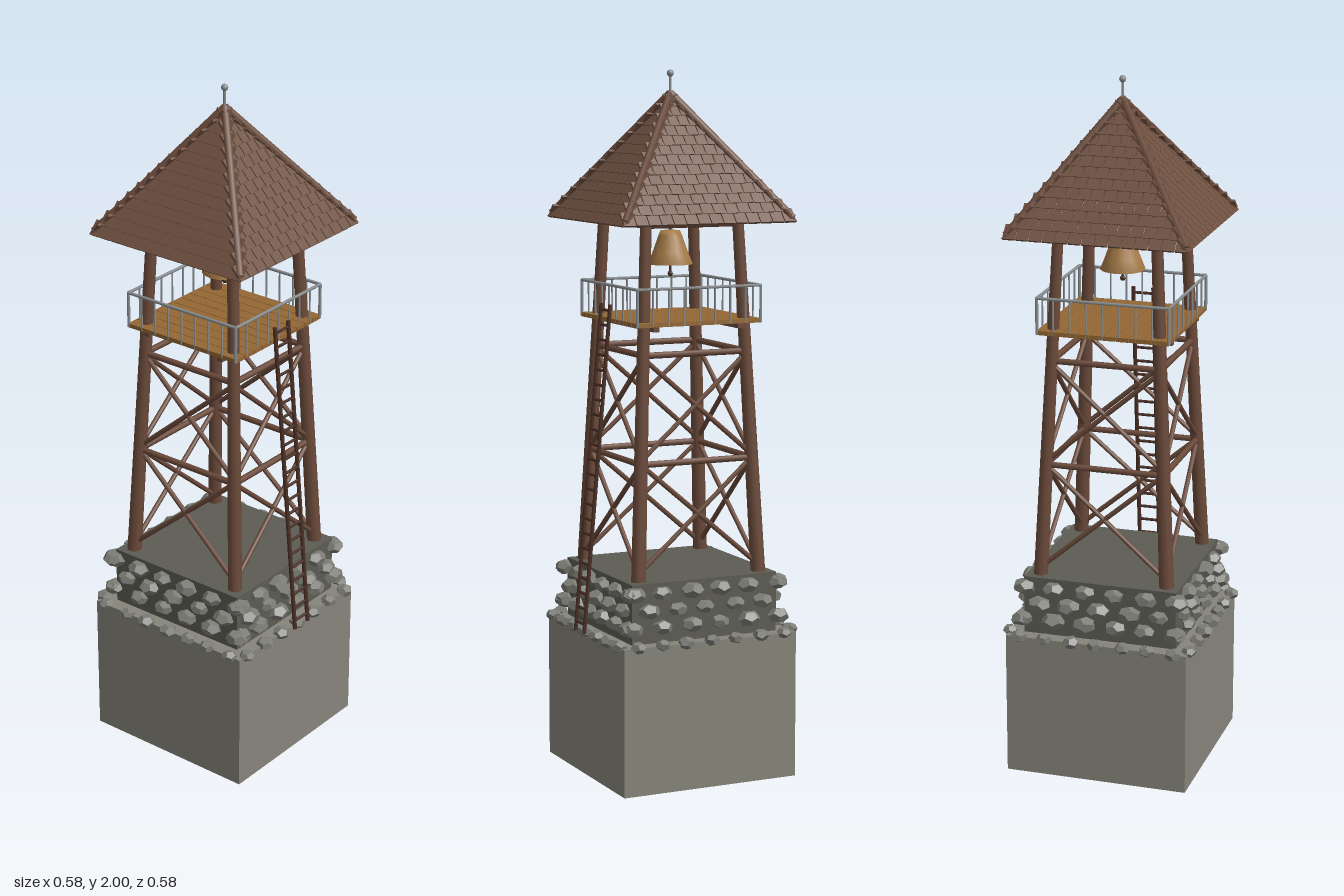
import * as THREE from 'three';
import { mergeGeometries } from 'three/addons/utils/BufferGeometryUtils.js';

const mat = (name, color, flatShading = false) => {
  const m = new THREE.MeshStandardMaterial({ color, flatShading });
  m.name = name;
  return m;
};

const V = (x, y, z) => new THREE.Vector3(x, y, z);

// tapered round bar between two points
function rod(a, b, r0, r1 = r0, sides = 8) {
  const d = b.clone().sub(a);
  const g = new THREE.CylinderGeometry(r1, r0, d.length(), sides);
  g.applyQuaternion(new THREE.Quaternion().setFromUnitVectors(V(0, 1, 0), d.normalize()));
  const c = a.clone().add(b).multiplyScalar(0.5);
  return g.translate(c.x, c.y, c.z);
}

const box = (w, h, d, x, y, z) => new THREE.BoxGeometry(w, h, d).translate(x, y, z);

export function createModel() {
  const root = new THREE.Group();
  root.name = 'bellTower';
  let seed = 7;
  const rnd = () => (seed = (seed * 16807) % 2147483647) / 2147483647;

  const M = {
    plinth: mat('plinth stone', 0x86847a),
    core: mat('dark stone', 0x5c5c53),
    rock: mat('rock', 0x7c7d76, true),
    wood: mat('timber', 0x6b4a3a),
    shingle: mat('shingle brown', 0x6e5040),
    ladder: mat('dark wood', 0x4a2f24),
    plank: mat('plank', 0x946734),
    rail: mat('grey metal', 0x8c9092),
    bell: mat('bronze', 0xa67c48),
  };
  const add = (name, geos, material) => {
    const m = new THREE.Mesh(Array.isArray(geos) ? mergeGeometries(geos) : geos, material);
    m.name = name;
    root.add(m);
    return m;
  };
  // repeats a list-building function on all four sides
  const fourSides = (build) => {
    const out = [];
    for (let k = 0; k < 4; k++) build(k).forEach((g) => out.push(g.rotateY((k * Math.PI) / 2)));
    return out;
  };

  // Foundation
  add('plinth', box(0.535, 0.42, 0.535, 0, 0.21, 0), M.plinth);
  add('foundationCore', box(0.45, 0.17, 0.45, 0, 0.505, 0), M.core);

  // Irregular field stones
  const stone = (x, y, z, w, h, d) => {
    const g = new THREE.DodecahedronGeometry(1, 0);
    g.rotateX(rnd() * 6).rotateY(rnd() * 6);
    const s = 0.88 + rnd() * 0.24;
    return g.scale(w * s, h * s, d * s).translate(x, y, z);
  };
  add('ledgeStones', fourSides(() => {
    const out = [];
    for (let i = -3; i <= 3; i++) {
      out.push(stone(i * 0.076 + (rnd() - 0.5) * 0.01, 0.422, 0.267, 0.024, 0.018, 0.024));
    }
    return out;
  }), M.rock);
  add('wallStones', fourSides(() => {
    const out = [];
    [0.465, 0.513, 0.562].forEach((y, row) => {
      const n = row % 2 ? 5 : 6;
      for (let i = 0; i < n; i++) {
        const x = (i - (n - 1) / 2) * 0.09 + (rnd() - 0.5) * 0.01;
        out.push(stone(x, y, 0.232, 0.032, 0.022, 0.028));
      }
    });
    return out;
  }), M.rock);

  // Leaning legs; legAt gives the half spacing at a height
  const legAt = (y) => 0.187 - ((y - 0.585) / 0.995) * 0.045;
  const topY = 1.62;
  add('legs', fourSides(() => [
    rod(V(legAt(0.585), 0.585, legAt(0.585)), V(legAt(topY), topY, legAt(topY)), 0.021, 0.016, 10),
  ]), M.wood);

  // Horizontal beams and cross braces
  const bar = (y0, y1, r) => rod(V(-legAt(y0), y0, legAt(y0)), V(legAt(y1), y1, legAt(y1)), r);
  add('beams', fourSides(() => [0.915, 1.217, 1.575].map((y) => bar(y, y, 0.009))), M.wood);
  add('braces', fourSides(() => [
    bar(0.61, 0.915, 0.007), bar(0.915, 0.61, 0.007),
    bar(0.925, 1.21, 0.007), bar(1.21, 0.925, 0.007),
  ]), M.wood);

  // Platform of loose planks
  const planks = [];
  for (let i = 0; i < 10; i++) planks.push(box(0.0365, 0.012, 0.385, (i - 4.5) * 0.0385, 1.304, 0));
  add('platformPlanks', planks, M.plank);
  add('platformJoists', [-0.13, 0.13].map((z) => box(0.37, 0.014, 0.018, 0, 1.291, z)), M.wood);

  // Railing
  add('railing', fourSides(() => {
    const out = [rod(V(-0.19, 1.403, 0.19), V(0.19, 1.403, 0.19), 0.0045, 0.0045, 6)];
    for (let i = 0; i < 8; i++) {
      const x = -0.19 + i * 0.0475;
      const r = i ? 0.0028 : 0.0045;
      out.push(rod(V(x, 1.3, 0.19), V(x, 1.403, 0.19), r, r, 6));
    }
    return out;
  }), M.rail);

  // Ladder leaning against the platform
  const foot = V(0, 0.42, 0.284);
  const head = V(0, 1.35, 0.2);
  const ladder = [-0.03, 0.03].map((x) => rod(V(x, foot.y, foot.z), V(x, head.y, head.z), 0.006));
  for (let i = 0; i < 22; i++) {
    const p = foot.clone().lerp(head, (i + 0.6) / 22);
    ladder.push(rod(V(-0.03, p.y, p.z), V(0.03, p.y, p.z), 0.0042, 0.0042, 6));
  }
  add('ladder', ladder, M.ladder);

  // Bell, hanger and clapper
  const profile = [[0, 1.553], [0.028, 1.55], [0.034, 1.535], [0.05, 1.49], [0.064, 1.455],
    [0.056, 1.456], [0.028, 1.535], [0, 1.54]].map(([x, y]) => new THREE.Vector2(x, y)).reverse();
  add('bell', new THREE.LatheGeometry(profile, 16), M.bell);
  add('bellBeam', [rod(V(-0.143, 1.59, 0), V(0.143, 1.59, 0), 0.01),
    rod(V(0, 1.545, 0), V(0, 1.59, 0), 0.006)], M.wood);
  add('clapper', [rod(V(0, 1.425, 0), V(0, 1.54, 0), 0.004),
    new THREE.SphereGeometry(0.008, 8, 6).translate(0, 1.428, 0)], M.ladder);

  // Roof: overlapping rows of shingles stepping up to the peak
  const rows = 13;
  const half = 0.263;
  add('shingles', fourSides(() => {
    const out = [];
    const tilt = 0.83;
    const len = 0.046;
    for (let i = 0; i < rows; i++) {
      const d = half * (1 - i / rows);
      const y = 1.582 + i * 0.0262;
      const n = rows + 1 - i;
      const pitch = (2 * d) / n;
      for (let j = 0; j < n; j++) {
        const g = new THREE.BoxGeometry(pitch - 0.003, 0.007, len);
        g.rotateX(tilt + (rnd() - 0.5) * 0.03);
        out.push(g.translate((j + 0.5) * pitch - d,
          y + (len / 2) * Math.sin(tilt), d - (len / 2) * Math.cos(tilt)));
      }
    }
    return out;
  }), M.shingle);
  add('hipRafters', fourSides(() => [
    rod(V(0.255, 1.592, 0.255), V(0, 1.935, 0), 0.011, 0.011, 6),
  ]), M.wood);

  // Finial
  add('finial', [rod(V(0, 1.92, 0), V(0, 1.985, 0), 0.004),
    new THREE.SphereGeometry(0.01, 12, 8).translate(0, 1.99, 0)], M.rail);

  return root;
}
